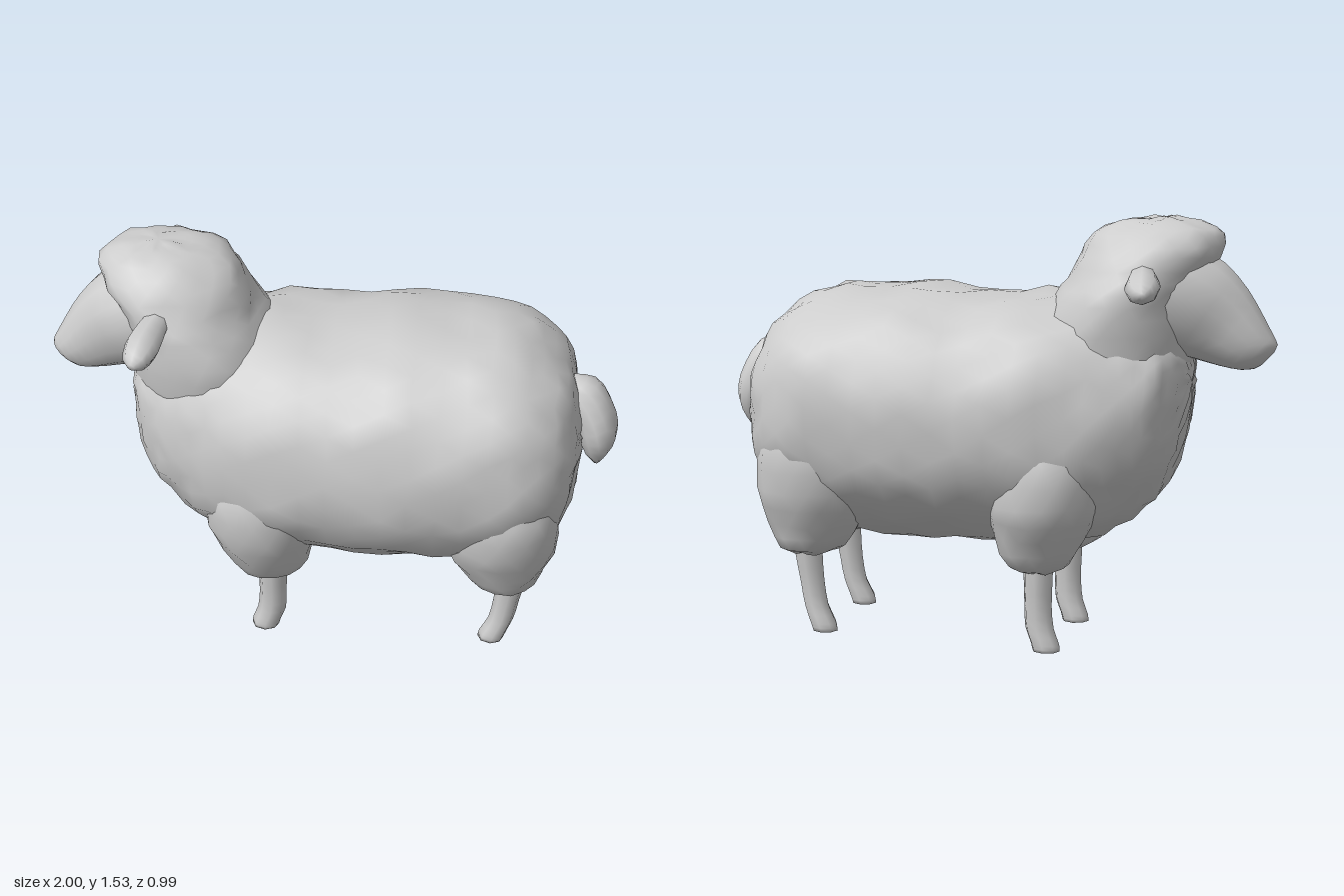
import * as THREE from 'three';

// small seeded random generator for the lumpy fleece
function seeded(seed) {
  return () => {
    seed = (seed * 16807) % 2147483647;
    return seed / 2147483647;
  };
}

// Smooth closed skin through rings [x, y, z, radius in the xy plane, radius in z, tilt in degrees].
// Rings advance along (sin tilt, -cos tilt); power squares the section, taper narrows its
// underside and bump roughens it.
function loft(rings, { steps = 12, sides = 12, power = 2, taper = 0, bump = 0, seed = 7 } = {}) {
  const rand = seeded(seed);
  const centres = new THREE.CatmullRomCurve3(rings.map(r => new THREE.Vector3(r[0], r[1], r[2])));
  const sizes = new THREE.CatmullRomCurve3(rings.map(r => new THREE.Vector3(r[3], r[4], r[5] * Math.PI / 180)));
  const pos = [], index = [];
  const soften = v => Math.sign(v) * Math.pow(Math.abs(v), 2 / power);
  for (let i = 0; i <= steps; i++) {
    const c = centres.getPoint(i / steps), s = sizes.getPoint(i / steps);
    for (let j = 0; j < sides; j++) {
      const a = (j + (bump && i % 2 ? 0.5 : 0)) / sides * Math.PI * 2;
      const u = soften(Math.cos(a));
      const w = soften(Math.sin(a)) * (1 - taper * Math.min(u, 0) ** 2);
      const px = c.x + u * s.x * Math.cos(s.z);
      const py = c.y + u * s.x * Math.sin(s.z);
      const pz = c.z + w * s.y;
      const d = bump * (rand() * 2 - 1 + 0.5 * Math.sin(px * 17 + pz * 9) * Math.sin(py * 15 - pz * 7));
      const slide = bump * (rand() - 0.5) * 1.4;
      pos.push(px + u * d * Math.cos(s.z) + slide * Math.sin(s.z),
        py + u * d * Math.sin(s.z) - slide * Math.cos(s.z), pz + w * d);
    }
  }
  for (let i = 0; i < steps; i++) {
    for (let j = 0; j < sides; j++) {
      const k = (j + 1) % sides;
      const a = i * sides + j, b = i * sides + k, c = a + sides, d = b + sides;
      if (bump && i % 2) index.push(a, b, d, a, d, c);
      else index.push(a, b, c, b, d, c);
    }
  }
  // end caps
  const last = steps * sides, p0 = centres.getPoint(0), p1 = centres.getPoint(1);
  pos.push(p0.x, p0.y, p0.z, p1.x, p1.y, p1.z);
  const n = last + sides;
  for (let j = 0; j < sides; j++) {
    const k = (j + 1) % sides;
    index.push(n, k, j, n + 1, last + j, last + k);
  }
  const g = new THREE.BufferGeometry();
  g.setAttribute('position', new THREE.Float32BufferAttribute(pos, 3));
  g.setIndex(index);
  g.computeVertexNormals();
  return g;
}

export function createModel() {
  const model = new THREE.Group();
  model.name = 'sheep';
  const grey = new THREE.MeshStandardMaterial({ color: 0xcccccc });
  grey.name = 'pale grey';
  const add = (name, geometry) => {
    const mesh = new THREE.Mesh(geometry, grey);
    mesh.name = name;
    model.add(mesh);
  };

  // fleece body, from chest to rump: x, centre height, half height, half width
  const body = [
    [-0.715, 0.95, 0.06, 0.06], [-0.69, 0.925, 0.18, 0.17], [-0.65, 0.895, 0.27, 0.24], [-0.59, 0.865, 0.335, 0.292],
    [-0.5, 0.835, 0.39, 0.345], [-0.38, 0.812, 0.43, 0.402], [-0.2, 0.81, 0.447, 0.45],
    [0, 0.803, 0.447, 0.472], [0.2, 0.81, 0.457, 0.485], [0.4, 0.81, 0.457, 0.478],
    [0.58, 0.82, 0.438, 0.472], [0.7, 0.82, 0.39, 0.432], [0.79, 0.81, 0.33, 0.36],
    [0.84, 0.81, 0.235, 0.265], [0.865, 0.82, 0.08, 0.1],
  ].map(([x, y, h, w]) => [x, y, 0, h, w, 90]);
  add('fleece body', loft(body, { steps: 30, sides: 32, power: 2.25, taper: 0.15, bump: 0.011, seed: 11 }));

  // woolly neck and crown, from the top of the head down into the shoulders
  add('neck and crown wool', loft([
    [-0.61, 1.52, 0, 0.05, 0.05, 0], [-0.595, 1.505, 0, 0.145, 0.122, 0], [-0.585, 1.46, 0, 0.228, 0.19, 0],
    [-0.565, 1.39, 0, 0.248, 0.243, 0], [-0.522, 1.31, 0, 0.238, 0.278, 0], [-0.48, 1.235, 0, 0.245, 0.303, 0],
    [-0.455, 1.13, 0, 0.27, 0.305, 0], [-0.43, 1.0, 0, 0.28, 0.29, 0], [-0.4, 0.88, 0, 0.2, 0.21, 0],
  ], { steps: 16, sides: 20, bump: 0.009, seed: 5 }));

  // tapering face and muzzle, with broad cheeks
  add('face', loft([
    [-0.6, 1.27, 0, 0.195, 0.22, -60], [-0.72, 1.212, 0, 0.187, 0.18, -57],
    [-0.815, 1.155, 0, 0.152, 0.13, -54], [-0.885, 1.1, 0, 0.115, 0.105, -50],
    [-0.94, 1.062, 0, 0.082, 0.078, -48], [-0.97, 1.05, 0, 0.058, 0.045, -48],
    [-0.978, 1.045, 0, 0.03, 0.02, -48],
  ], { steps: 12, sides: 14, power: 2.1 }));

  // tail hanging from the rump
  add('tail', loft([
    [0.80, 1.03, 0, 0.04, 0.035, 40], [0.85, 0.995, 0, 0.075, 0.07, 35], [0.90, 0.92, 0, 0.075, 0.102, 28],
    [0.925, 0.84, 0, 0.075, 0.112, 22], [0.935, 0.77, 0, 0.057, 0.088, 25], [0.932, 0.715, 0, 0.018, 0.045, 25],
  ], { steps: 10, sides: 12 }));

  for (const side of [1, -1]) {
    const label = side > 0 ? 'left' : 'right';

    // broad, drooping ear, modelled upright and then turned outwards
    const ear = loft([
      [0.01, 0.26, 0, 0.012, 0.012, 0], [0.01, 0.235, 0, 0.042, 0.035, 0], [0.005, 0.165, 0, 0.06, 0.052, 0],
      [0, 0.08, 0, 0.052, 0.044, 0], [0, 0, 0, 0.04, 0.033, 0],
    ], { steps: 8, sides: 8 });
    ear.rotateZ(0.26);
    ear.rotateX(side * 1.77);
    ear.translate(-0.578, 1.342, side * 0.2);
    add(label + ' ear', ear);

    // woolly shoulder and thigh bulges
    add(label + ' shoulder wool', loft([
      [-0.25, 0.84, side * 0.26, 0.1, 0.09, 0], [-0.255, 0.7, side * 0.26, 0.18, 0.17, 0],
      [-0.25, 0.55, side * 0.25, 0.195, 0.182, 0], [-0.235, 0.42, side * 0.225, 0.165, 0.157, 0],
      [-0.22, 0.32, side * 0.21, 0.118, 0.118, 0], [-0.22, 0.29, side * 0.2, 0.06, 0.06, 0],
    ], { steps: 10, sides: 14, bump: 0.007, seed: 21 + side }));
    add(label + ' thigh wool', loft([
      [0.59, 0.86, side * 0.25, 0.13, 0.11, 0], [0.6, 0.7, side * 0.26, 0.2, 0.188, 0],
      [0.6, 0.55, side * 0.25, 0.205, 0.19, 0], [0.61, 0.42, side * 0.228, 0.172, 0.165, 0],
      [0.625, 0.33, side * 0.217, 0.125, 0.13, 0], [0.64, 0.295, side * 0.2, 0.06, 0.06, 0],
    ], { steps: 10, sides: 14, bump: 0.007, seed: 31 + side }));

    // slim legs with hooves pointing forwards
    add(label + ' front leg', loft([
      [-0.22, 0.38, side * 0.2, 0.055, 0.055, 0], [-0.22, 0.26, side * 0.2, 0.053, 0.05, 0],
      [-0.22, 0.16, side * 0.2, 0.05, 0.043, 0], [-0.226, 0.08, side * 0.2, 0.052, 0.042, 0],
      [-0.246, 0.025, side * 0.2, 0.052, 0.046, 0], [-0.25, 0, side * 0.2, 0.05, 0.044, 0],
    ], { steps: 10, sides: 8 }));
    add(label + ' hind leg', loft([
      [0.66, 0.4, side * 0.19, 0.06, 0.055, 0], [0.655, 0.29, side * 0.19, 0.054, 0.05, 0],
      [0.642, 0.18, side * 0.19, 0.047, 0.043, 0], [0.626, 0.09, side * 0.192, 0.046, 0.042, 0],
      [0.6, 0.03, side * 0.195, 0.05, 0.046, 0], [0.592, 0, side * 0.195, 0.048, 0.044, 0],
    ], { steps: 10, sides: 8 }));
  }
  return model;
}
